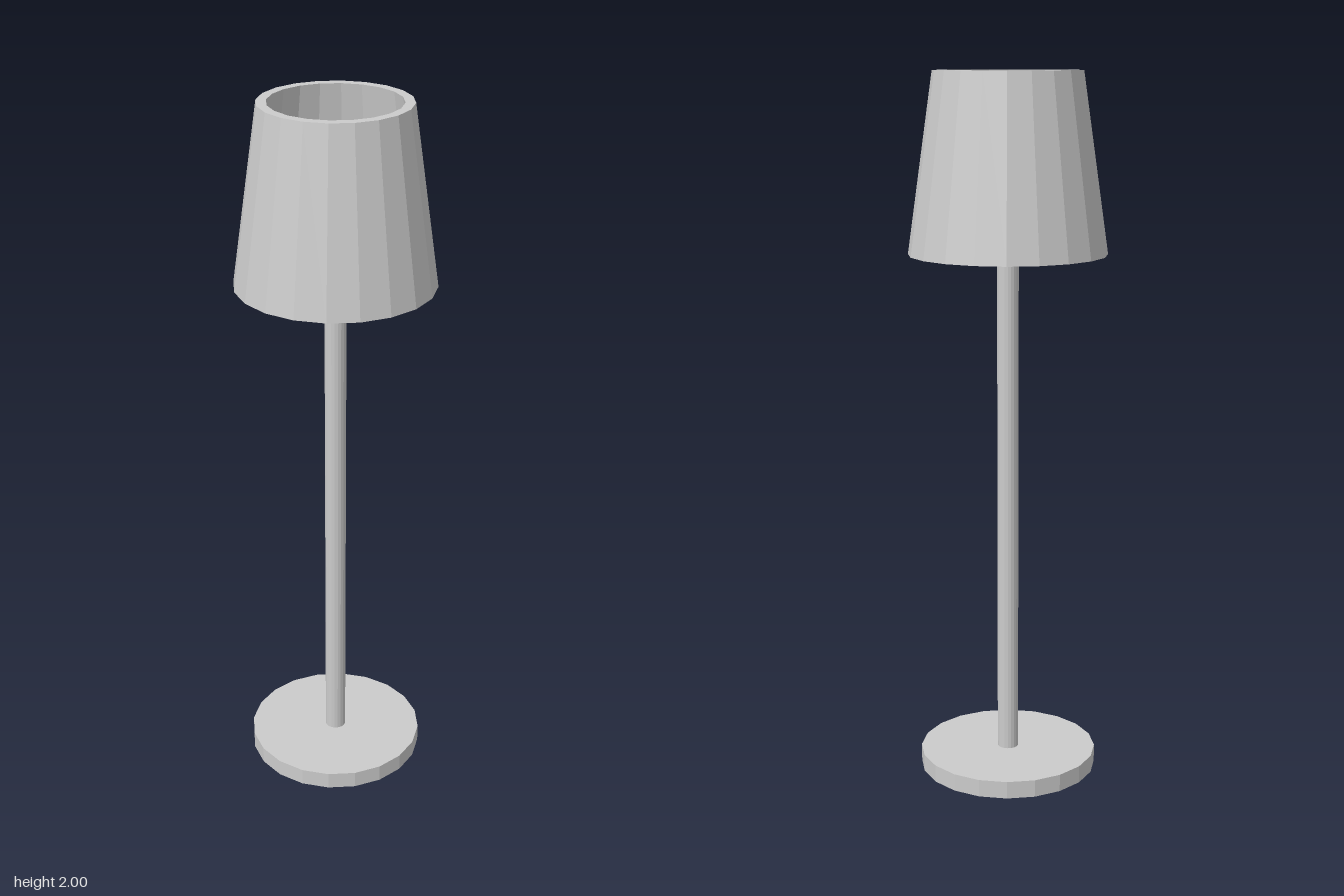
import * as THREE from 'three';

export function createModel() {
  const lamp = new THREE.Group();
  lamp.name = 'tableLamp';
  const flat = new THREE.MeshStandardMaterial({ color: 0xcccccc, flatShading: true });
  const smooth = new THREE.MeshStandardMaterial({ color: 0xcccccc });
  const SIDES = 20;

  const add = (name, geometry, material, y) => {
    const mesh = new THREE.Mesh(geometry, material);
    mesh.name = name;
    mesh.position.y = y;
    lamp.add(mesh);
    return mesh;
  };

  // Round foot and slim pole
  add('base', new THREE.CylinderGeometry(0.255, 0.255, 0.05, SIDES), flat, 0.025);
  add('pole', new THREE.CylinderGeometry(0.03, 0.03, 1.51, SIDES), flat, 0.805);

  // Bulb resting on top of the pole
  add('bulb', new THREE.SphereGeometry(0.045, 20, 14), smooth, 1.59);

  // Tapered shade with a real wall thickness: closed ring profile
  const profile = [[0.248, 0], [0.276, 0], [0.205, 0.495], [0.178, 0.495], [0.248, 0]]
    .map(([r, y]) => new THREE.Vector2(r, y));
  add('shade', new THREE.LatheGeometry(profile, SIDES), flat, 1.505);

  // Unevenly spaced spokes joining the pole to the shade wall
  const length = 0.25;
  for (const degrees of [-8, 63.5, 172, 261]) {
    const bar = new THREE.BoxGeometry(length, 0.02, 0.026).translate(length / 2, 0, 0);
    add('spoke', bar, flat, 1.53).rotation.y = THREE.MathUtils.degToRad(degrees);
  }

  return lamp;
}
